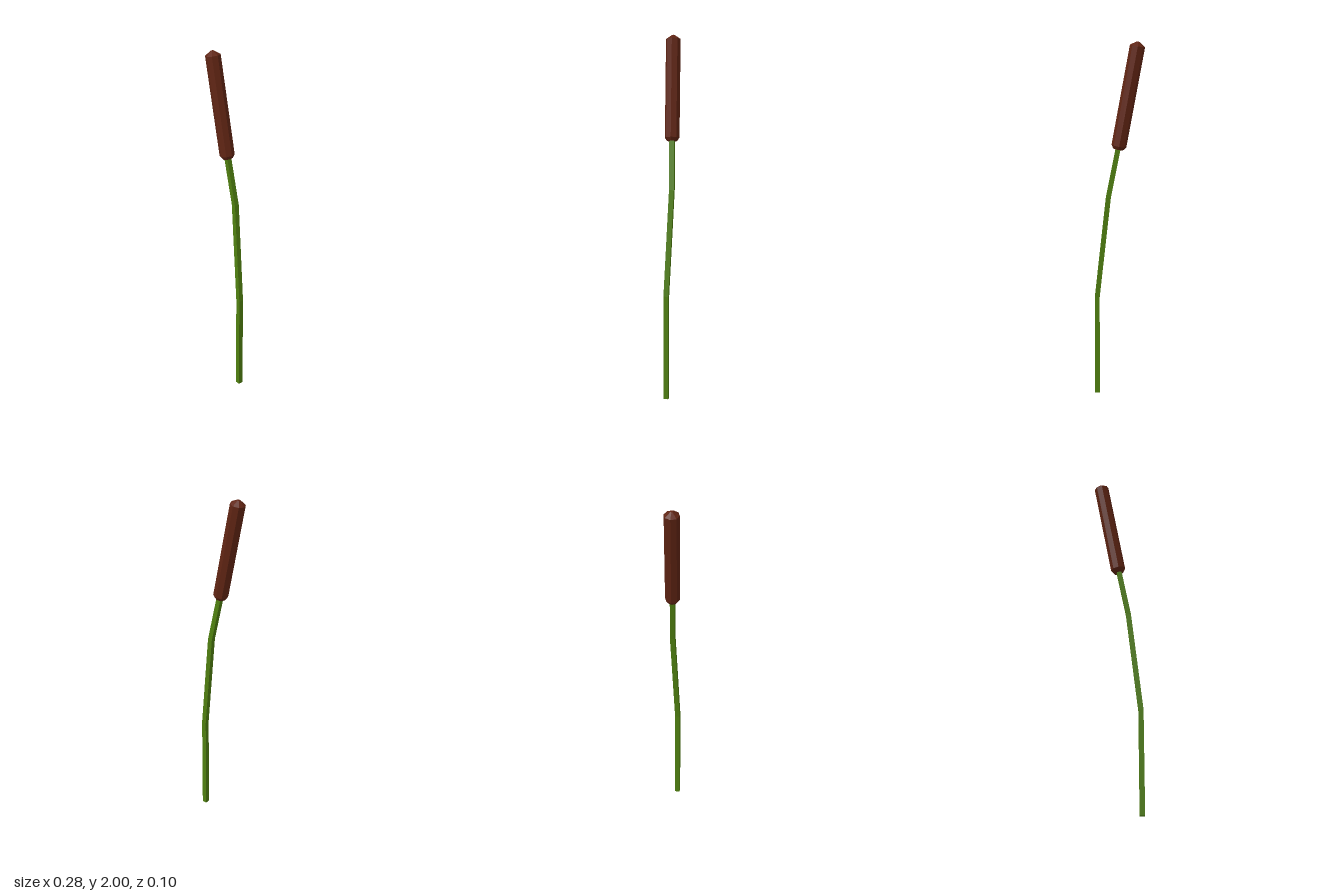
import * as THREE from 'three';

const paint = (color) => new THREE.MeshStandardMaterial({ color, flatShading: true });

// Square stalk whose horizontal rings follow a bent path
function makeStem(path, width) {
  const rows = path.length - 1;
  const geometry = new THREE.BoxGeometry(width, rows, width, 1, rows, 1);
  const pos = geometry.attributes.position;
  for (let i = 0; i < pos.count; i++) {
    const [x, y, z] = path[Math.round(pos.getY(i) + rows / 2)];
    pos.setXYZ(i, pos.getX(i) + x, y, pos.getZ(i) + z);
  }
  geometry.computeVertexNormals();
  const mesh = new THREE.Mesh(geometry, paint(0x4f7f10));
  mesh.name = 'stem';
  return mesh;
}

// Eight-sided seed head with bevelled ends, leaning along the stalk
function makeSeedHead(bottom, top, radius) {
  const axis = top.clone().sub(bottom);
  const length = axis.length();
  const profile = [
    [0, -0.019], [0.028, -0.019], [radius, 0],
    [radius, length], [0.008, length + 0.023], [0, length + 0.023],
  ].map(([r, y]) => new THREE.Vector2(r, y));
  const mesh = new THREE.Mesh(new THREE.LatheGeometry(profile, 8), paint(0x5f2413));
  mesh.name = 'seedHead';
  mesh.position.copy(bottom);
  mesh.quaternion.setFromUnitVectors(new THREE.Vector3(0, 1, 0), axis.normalize());
  return mesh;
}

export function createModel() {
  const group = new THREE.Group();
  group.name = 'cattail';
  group.add(
    makeStem([[0.124, 0, 0], [0.122, 0.58, 0], [0.058, 1.16, -0.018], [0.002, 1.44, -0.008]], 0.027),
    makeSeedHead(new THREE.Vector3(0, 1.442, -0.008), new THREE.Vector3(-0.099, 1.977, 0.006), 0.041),
  );
  return group;
}
